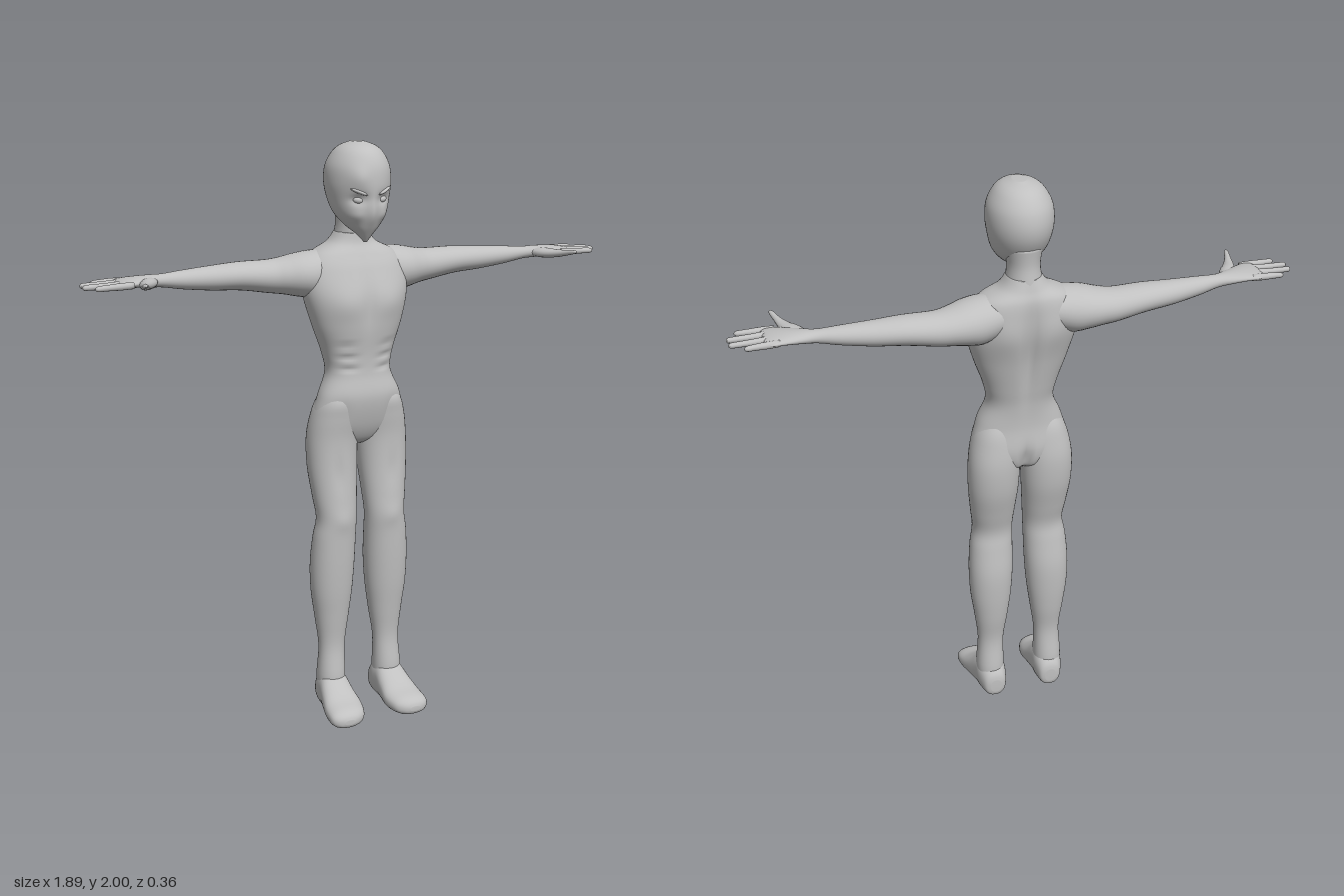
import * as THREE from 'three';

const skin = new THREE.MeshStandardMaterial({ color: 0xc0c0c0 });
skin.name = 'plain grey';

// Uniform Catmull-Rom through one column of the cross-section table
function spline(rows, i, f, k) {
  const at = n => rows[Math.min(Math.max(n, 0), rows.length - 1)][k];
  const a = at(i - 1), b = at(i), c = at(i + 1), d = at(i + 2);
  return b + 0.5 * f * (c - a + f * (2 * a - 5 * b + 4 * c - d + f * (3 * (b - c) + d - a)));
}

// Lofted body part. Rows: [along axis, uMin, uMax, vMin, vMax]
// axis y: u = z, v = x; axis x: u = y, v = z; axis z: u = x, v = y
function loft(axis, rows, { sides = 32, steps = 5, power = 1 } = {}) {
  const order = { x: [0, 1, 2], y: [1, 2, 0], z: [2, 0, 1] }[axis];
  const pos = [], index = [];
  const add = (t, u, v) => {
    const p = [0, 0, 0];
    [t, u, v].forEach((value, n) => { p[order[n]] = value; });
    pos.push(...p);
  };
  const bend = c => Math.sign(c) * Math.abs(c) ** power;
  const count = (rows.length - 1) * steps + 1;
  for (let r = 0; r < count; r++) {
    const i = Math.min(Math.floor(r / steps), rows.length - 2), f = r / steps - i;
    const [t, u0, u1, v0, v1] = [0, 1, 2, 3, 4].map(k => spline(rows, i, f, k));
    for (let j = 0; j < sides; j++) {
      const a = j / sides * Math.PI * 2;
      add(t, (u0 + u1) / 2 + (u1 - u0) / 2 * bend(Math.cos(a)), (v0 + v1) / 2 + (v1 - v0) / 2 * bend(Math.sin(a)));
    }
  }
  for (let r = 0; r < count - 1; r++) for (let j = 0; j < sides; j++) {
    const k = (j + 1) % sides, a = r * sides + j, b = r * sides + k;
    index.push(a, b, b + sides, a, b + sides, a + sides);
  }
  // end caps
  const s = rows[0], e = rows[rows.length - 1], c0 = count * sides, last = c0 - sides;
  for (const q of [s, e]) add(q[0], (q[1] + q[2]) / 2, (q[3] + q[4]) / 2);
  for (let j = 0; j < sides; j++) {
    const k = (j + 1) % sides;
    index.push(c0, k, j, c0 + 1, last + j, last + k);
  }
  const g = new THREE.BufferGeometry();
  g.setAttribute('position', new THREE.Float32BufferAttribute(pos, 3));
  g.setIndex(index);
  g.computeVertexNormals();
  return g;
}

// Soft bumps and hollows. Each: [x, y, width, height, side (1 front, -1 back), z shift]
function sculpt(g, zMid, bumps) {
  const p = g.attributes.position;
  for (let i = 0; i < p.count; i++) {
    const x = p.getX(i), y = p.getY(i), z = p.getZ(i);
    let dz = 0;
    for (const [bx, by, w, h, side, d] of bumps) {
      const near = THREE.MathUtils.smoothstep((z - zMid) * side, 0, 0.06);
      dz += d * near * Math.exp(-(((x - bx) / w) ** 2) - ((y - by) / h) ** 2);
    }
    p.setZ(i, z + dz);
  }
  g.computeVertexNormals();
  return g;
}

const both = list => list.flatMap(b => [b, [-b[0], ...b.slice(1)]]);

function mirrored(g) {
  const m = g.clone().scale(-1, 1, 1), idx = m.index;
  for (let i = 0; i < idx.count; i += 3) {
    const a = idx.getX(i);
    idx.setX(i, idx.getX(i + 1));
    idx.setX(i + 1, a);
  }
  m.computeVertexNormals();
  return m;
}

export function createModel() {
  const model = new THREE.Group();
  model.name = 'figure';
  const part = (name, g) => {
    const m = new THREE.Mesh(g, skin);
    m.name = name;
    model.add(m);
  };
  const pair = (name, g) => {
    part('left' + name, g);
    part('right' + name, mirrored(g));
  };

  // Torso with chest, ribs, belly, shoulder blades and spine groove
  part('torso', sculpt(loft('y', [
    [0.975, -0.07, -0.01, -0.05, 0.05],
    [1.0, -0.105, 0.022, -0.11, 0.11],
    [1.06, -0.118, 0.05, -0.165, 0.165],
    [1.15, -0.11, 0.068, -0.148, 0.148],
    [1.23, -0.114, 0.056, -0.116, 0.116],
    [1.3, -0.126, 0.056, -0.126, 0.126],
    [1.4, -0.145, 0.068, -0.16, 0.16],
    [1.5, -0.165, 0.066, -0.185, 0.185],
    [1.58, -0.168, 0.04, -0.18, 0.18],
    [1.63, -0.165, 0.015, -0.15, 0.15],
    [1.665, -0.152, -0.005, -0.085, 0.085],
    [1.7, -0.14, -0.012, -0.056, 0.056],
  ], { sides: 72, steps: 8, power: 0.9 }), -0.04, [
    [0, 1.47, 0.018, 0.09, 1, -0.008],
    [0, 1.45, 0.022, 0.17, -1, 0.02],
    [0, 1.02, 0.015, 0.05, -1, 0.02],
    ...both([
      [0.08, 1.47, 0.06, 0.05, 1, 0.008],
      [0.085, 1.53, 0.05, 0.07, -1, -0.008],
      [0.07, 1.29, 0.03, 0.008, 1, -0.008],
      [0.075, 1.33, 0.03, 0.008, 1, -0.007],
      [0.065, 1.25, 0.03, 0.008, 1, -0.007],
      [0.1, 1.09, 0.03, 0.05, 1, -0.006],
    ]),
  ]));

  part('neck', loft('y', [
    [1.62, -0.15, 0.0, -0.075, 0.075],
    [1.68, -0.143, -0.01, -0.06, 0.06],
    [1.74, -0.135, -0.008, -0.054, 0.054],
    [1.8, -0.14, 0.0, -0.065, 0.065],
  ]));

  // Head tapering to a pointed chin, with eye hollows, nose ridge and fringe
  part('head', sculpt(loft('y', [
    [1.675, 0.025, 0.038, -0.005, 0.005],
    [1.7, -0.005, 0.055, -0.026, 0.026],
    [1.73, -0.06, 0.072, -0.058, 0.058],
    [1.77, -0.115, 0.088, -0.086, 0.086],
    [1.82, -0.148, 0.094, -0.101, 0.101],
    [1.87, -0.16, 0.098, -0.108, 0.108],
    [1.92, -0.153, 0.092, -0.104, 0.104],
    [1.96, -0.13, 0.073, -0.085, 0.085],
    [1.985, -0.1, 0.045, -0.06, 0.06],
    [2.0, -0.06, 0.005, -0.022, 0.022],
  ], { sides: 64, steps: 8 }), 0, [
    [0, 1.77, 0.014, 0.05, 1, 0.008],
    [-0.05, 1.89, 0.03, 0.035, 1, 0.009],
    ...both([
      [0.045, 1.82, 0.024, 0.018, 1, -0.014],
      [0.05, 1.765, 0.02, 0.018, 1, 0.005],
    ]),
  ]));

  // Eyes and slanted brows
  const ball = (rx, ry, rz, tilt, x, y, z) =>
    new THREE.SphereGeometry(1, 20, 12).scale(rx, ry, rz).rotateY(0.4).rotateZ(tilt).translate(x, y, z);
  pair('Eye', ball(0.016, 0.01, 0.009, 0.15, 0.045, 1.818, 0.069));
  pair('Brow', ball(0.03, 0.006, 0.01, 0.4, 0.046, 1.846, 0.081));

  // Legs
  pair('Leg', sculpt(loft('y', [
    [0.05, -0.07, 0.015, 0.065, 0.15],
    [0.12, -0.075, 0.032, 0.06, 0.16],
    [0.24, -0.064, 0.02, 0.06, 0.153],
    [0.35, -0.08, 0.03, 0.045, 0.165],
    [0.45, -0.09, 0.042, 0.032, 0.178],
    [0.55, -0.092, 0.05, 0.025, 0.181],
    [0.65, -0.08, 0.055, 0.023, 0.174],
    [0.72, -0.072, 0.058, 0.022, 0.163],
    [0.8, -0.09, 0.052, 0.016, 0.172],
    [0.9, -0.114, 0.044, 0.008, 0.182],
    [1.0, -0.122, 0.042, 0.004, 0.182],
    [1.08, -0.114, 0.05, 0.003, 0.169],
    [1.14, -0.1, 0.052, 0.02, 0.145],
    [1.2, -0.07, 0.02, 0.04, 0.09],
  ], { sides: 40, power: 0.93 }), -0.02, [
    [0.1, 0.88, 0.015, 0.06, 1, -0.006],
    [0.095, 0.72, 0.03, 0.03, 1, 0.004],
  ]));

  // Feet
  pair('Foot', loft('z', [
    [-0.09, 0.085, 0.125, 0.03, 0.08],
    [-0.08, 0.067, 0.145, 0.01, 0.11],
    [-0.04, 0.056, 0.16, 0.003, 0.15],
    [0.0, 0.055, 0.165, 0.002, 0.15],
    [0.05, 0.05, 0.176, 0.002, 0.113],
    [0.1, 0.046, 0.186, 0.0, 0.082],
    [0.15, 0.06, 0.187, 0.0, 0.065],
    [0.172, 0.085, 0.17, 0.006, 0.05],
    [0.18, 0.11, 0.145, 0.018, 0.035],
  ], { power: 0.85 }));

  // Arms, from inside the chest to the palm
  pair('Arm', loft('x', [
    [0.08, 1.51, 1.645, -0.16, -0.01],
    [0.15, 1.485, 1.642, -0.172, 0.005],
    [0.2, 1.49, 1.635, -0.176, 0.0],
    [0.25, 1.5, 1.624, -0.174, -0.02],
    [0.3, 1.507, 1.618, -0.17, -0.036],
    [0.4, 1.524, 1.618, -0.16, -0.04],
    [0.5, 1.532, 1.613, -0.142, -0.047],
    [0.6, 1.545, 1.607, -0.12, -0.05],
    [0.67, 1.558, 1.602, -0.103, -0.051],
    [0.72, 1.563, 1.603, -0.107, -0.03],
    [0.78, 1.57, 1.602, -0.115, 0.0],
    [0.82, 1.573, 1.597, -0.115, 0.013],
    [0.835, 1.58, 1.59, -0.1, 0.0],
  ]));

  // Fingers: [z at root, z at tip, tip x]
  [[-0.102, -0.106, 0.9], [-0.066, -0.07, 0.943], [-0.03, -0.032, 0.945], [0.002, 0.008, 0.915]].forEach(([z0, z1, tip], n) => {
    const ring = (x, f, r) => {
      const z = z0 + (z1 - z0) * f, y = 1.585 - 0.002 * f;
      return [x, y - r, y + r, z - r, z + r];
    };
    pair('Finger' + (n + 1), loft('x', [
      ring(0.79, 0, 0.011), ring(0.83, 0.25, 0.0115), ring(0.87, 0.55, 0.01),
      ring(tip - 0.012, 0.9, 0.009), ring(tip - 0.003, 1, 0.006), ring(tip, 1, 0.002),
    ], { sides: 12, steps: 3 }));
  });
  pair('Thumb', loft('z', [
    [-0.06, 0.69, 0.75, 1.567, 1.597],
    [-0.02, 0.705, 0.765, 1.565, 1.6],
    [0.02, 0.736, 0.776, 1.57, 1.598],
    [0.06, 0.76, 0.783, 1.58, 1.6],
    [0.095, 0.774, 0.79, 1.59, 1.603],
    [0.106, 0.781, 0.787, 1.595, 1.6],
  ], { sides: 14, steps: 4 }));

  return model;
}
